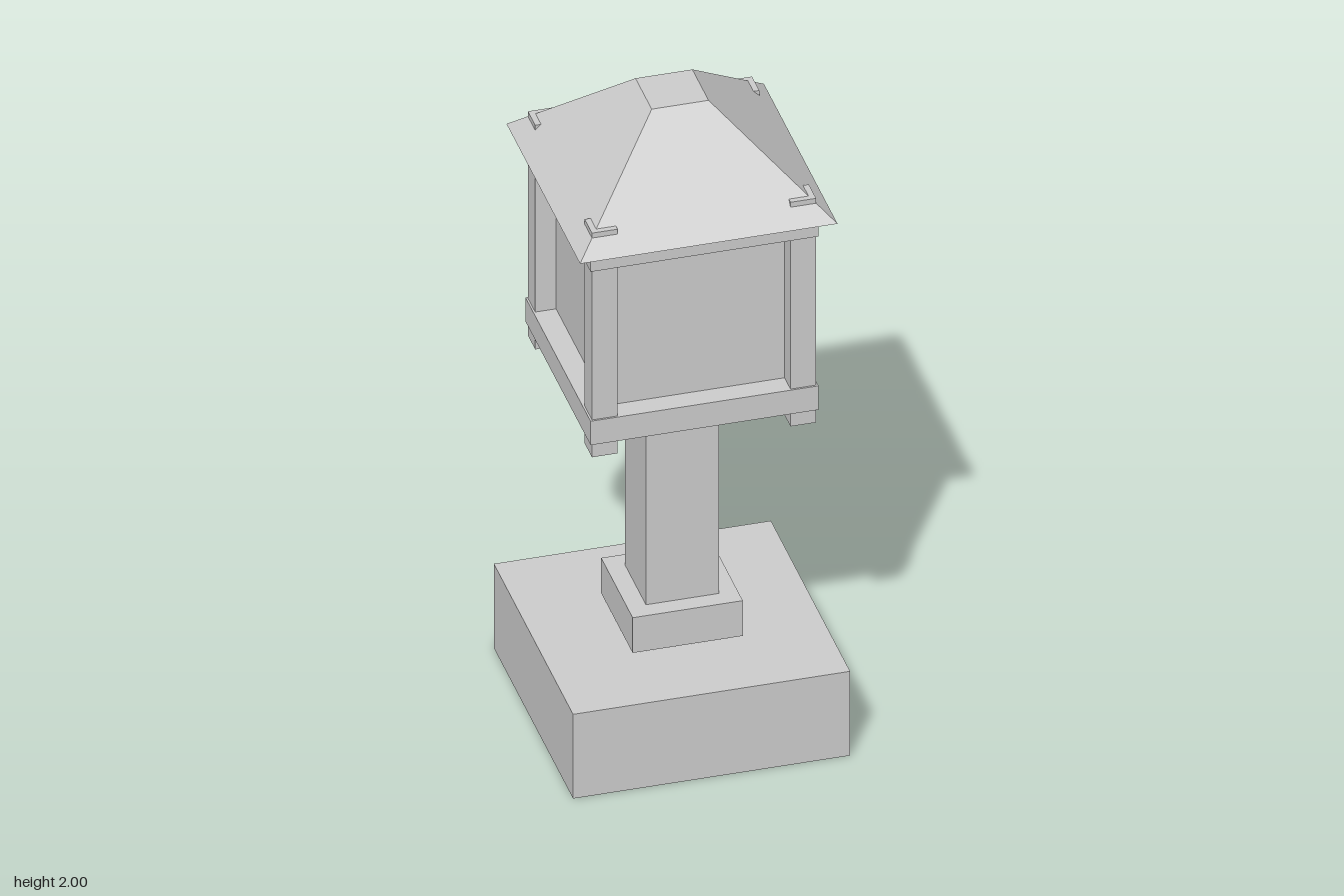
import * as THREE from 'three';

export function createModel() {
  const model = new THREE.Group();
  model.name = 'stoneLantern';
  const stone = new THREE.MeshStandardMaterial({ color: 0xcccccc });
  stone.name = 'pale grey stone';

  // Square block of the given width standing between two heights
  function block(name, width, bottom, top, x = 0, z = 0) {
    const mesh = new THREE.Mesh(new THREE.BoxGeometry(width, top - bottom, width), stone);
    mesh.name = name;
    mesh.position.set(x, (bottom + top) / 2, z);
    model.add(mesh);
    return mesh;
  }

  // Foot and column
  block('base', 0.79, 0, 0.275);
  block('column', 0.208, 0.27, 1.11);
  block('collar', 0.314, 0.285, 0.4);

  // Lamp house with recessed walls
  block('lowerFrame', 0.65, 1.098, 1.176);
  block('lampWalls', 0.52, 1.17, 1.67);
  block('upperFrame', 0.65, 1.664, 1.724);

  // Corner posts run below the lower frame and poke through the roof
  for (const x of [-1, 1]) {
    for (const z of [-1, 1]) {
      block('cornerPost', 0.073, 1.054, 1.786, x * 0.283, z * 0.283);
    }
  }

  // Truncated pyramid roof: a box with its top corners drawn in
  const roof = block('roof', 0.734, 1.724, 2);
  const corners = roof.geometry.attributes.position;
  for (let i = 0; i < corners.count; i++) {
    if (corners.getY(i) > 0) {
      corners.setX(i, Math.sign(corners.getX(i)) * 0.081);
      corners.setZ(i, Math.sign(corners.getZ(i)) * 0.081);
    }
  }
  roof.geometry.computeVertexNormals();

  return model;
}
